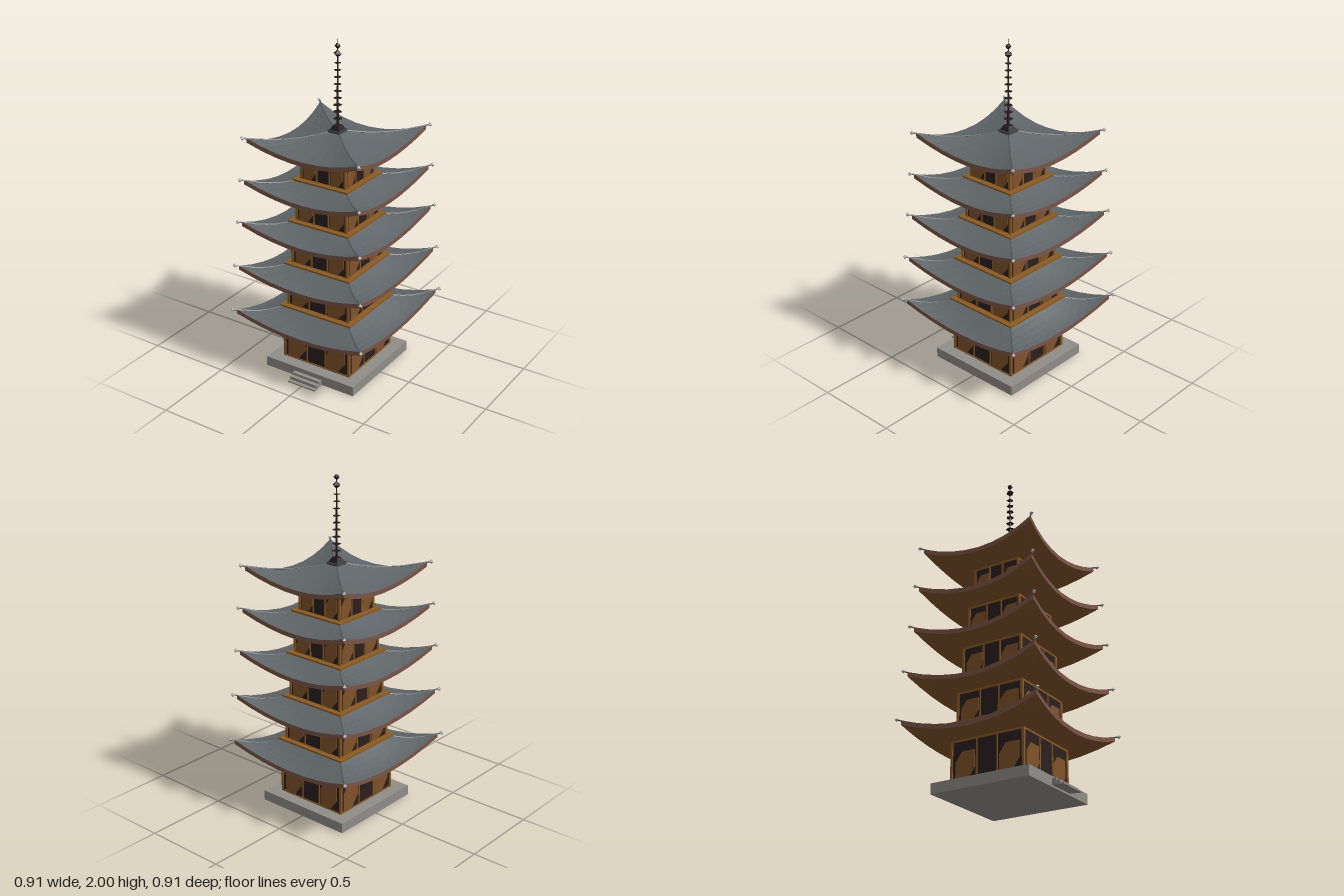
import * as THREE from 'three';
import { ParametricGeometry } from 'three/addons/geometries/ParametricGeometry.js';

const mat = (name, color, side = THREE.FrontSide) => {
  const m = new THREE.MeshStandardMaterial({ color, side, flatShading: true });
  m.name = name;
  return m;
};

const lerp = THREE.MathUtils.lerp;

export function createModel() {
  const M = {
    stone: mat('stone', 0x8e8d88),
    tile: mat('roofTile', 0x5f6568, THREE.DoubleSide),
    fascia: mat('eaveBrown', 0x795548, THREE.DoubleSide),
    wood: mat('wood', 0x805229, THREE.DoubleSide),
    wall: mat('wallPanel', 0x2a1f1f),
    timber: mat('timber', 0x8b5a22),
    cap: mat('capGrey', 0x44474a),
    metal: mat('spireMetal', 0x261c1b, THREE.DoubleSide),
    gem: mat('ridgeEnd', 0xacaea8),
  };

  const pagoda = new THREE.Group();
  pagoda.name = 'pagoda';

  const add = (parent, name, geo, material, x = 0, y = 0, z = 0) => {
    const mesh = new THREE.Mesh(geo, material);
    mesh.name = name;
    mesh.position.set(x, y, z);
    parent.add(mesh);
    return mesh;
  };
  const box = (parent, name, material, w, h, d, x, y, z) =>
    add(parent, name, new THREE.BoxGeometry(w, h, d), material, x, y, z);

  // Calls build(group) once for each of the four sides
  const fourSides = (parent, name, build) => {
    for (let k = 0; k < 4; k++) {
      const side = new THREE.Group();
      side.name = name;
      side.rotation.y = k * Math.PI / 2;
      build(side);
      parent.add(side);
    }
  };

  // Stone base and front steps: bottom, top, back, front of each tread
  box(pagoda, 'stoneBase', M.stone, 0.61, 0.06, 0.61, 0, 0.03, 0);
  [[0.005, 0.04, 0.315, 0.34], [0.003, 0.026, 0.34, 0.365], [0, 0.008, 0.365, 0.387]]
    .forEach(([y0, y1, z0, z1]) =>
      box(pagoda, 'frontStep', M.stone, 0.19, y1 - y0, z1 - z0, 0, (y0 + y1) / 2, (z0 + z1) / 2));

  // Hexagonal window panel with two opposite corners cut
  const windowPanel = (w, h) => {
    const s = new THREE.Shape();
    [[0, 0], [0, 0.66], [0.33, 1], [1, 1], [1, 0.42], [0.58, 0]].forEach(([x, y], i) =>
      i ? s.lineTo(x * w, y * h) : s.moveTo(x * w, y * h));
    return new THREE.ExtrudeGeometry(s, { depth: 0.004, bevelEnabled: false });
  };

  const buildStorey = (w, y0, y1) => {
    const g = new THREE.Group();
    g.name = 'storey';
    const h = y1 - y0;
    const mid = (y0 + y1) / 2;
    box(g, 'walls', M.wall, 2 * w - 0.012, h, 2 * w - 0.012, 0, mid, 0);
    fourSides(g, 'wallSide', (s) => {
      const z = w - 0.006;
      box(s, 'cornerPost', M.timber, 0.014, h, 0.014, w - 0.007, mid, w - 0.007);
      for (const sx of [-1, 1])
        box(s, 'doorPost', M.timber, 0.008, h, 0.01, sx * 0.28 * w, mid, z);
      box(s, 'topBeam', M.timber, 2 * w, 0.01, 0.012, 0, y1 - 0.005, z);
      box(s, 'bottomBeam', M.timber, 2 * w, 0.006, 0.012, 0, y0 + 0.003, z);
      for (const x of [-0.86, 0.33])
        add(s, 'window', windowPanel(0.53 * w, 0.7 * h), M.wood, x * w, y0 + 0.02 * h, z);
    });
    pagoda.add(g);
  };

  // Curved roof: a concave slope with eaves rising toward the corners
  const buildRoof = (inner, yTop, wallHalf, yEave, mid, corner) => {
    const g = new THREE.Group();
    g.name = 'roof';
    const thick = 0.026;
    const lift = 0.075;
    const at = (half, u, v, y, t) => t.set(
      u * lerp(half, corner, v), y,
      lerp(half, mid + (corner - mid) * u * u, v));
    const slope = (u, v, t) => at(inner, u, v,
      lerp(yTop, yEave + thick, 1 - (1 - v) ** 1.5) + lift * u * u * v ** 1.6, t);
    const under = (u, v, t) => at(wallHalf, u, v, yEave + lift * u * u * v * v, t);
    const a = new THREE.Vector3();
    const b = new THREE.Vector3();
    const surface = (f, nu, nv) =>
      new ParametricGeometry((p, q, t) => f(p * 2 - 1, q, t), nu, nv);

    fourSides(g, 'roofSide', (s) => {
      add(s, 'tiles', surface(slope, 8, 5), M.tile);
      add(s, 'soffit', surface(under, 8, 3), M.wood);
      add(s, 'fascia', surface((u, v, t) => {
        slope(u, 1, a);
        under(u, 1, b);
        t.lerpVectors(a, b, v);
      }, 8, 1), M.fascia);

      // Hip ridge ending in a small upturned knob
      const pts = [0, 0.25, 0.5, 0.75, 1].map((v) => {
        const p = new THREE.Vector3();
        slope(1, v, p);
        return p;
      });
      const tip = new THREE.Vector3(corner + 0.017, yEave + 0.103, corner + 0.017);
      pts.push(tip);
      add(s, 'hipRidge', new THREE.TubeGeometry(
        new THREE.CatmullRomCurve3(pts), 6, 0.0045, 4), M.tile);
      add(s, 'ridgeEnd', new THREE.OctahedronGeometry(0.013, 0), M.gem, tip.x, tip.y, tip.z);
    });
    pagoda.add(g);
  };

  // Storeys: wall half width, wall bottom, wall top, eave at middle, eave at corner
  const levels = [
    [0.232, 0.06, 0.3, 0.4, 0.425],
    [0.212, 0.402, 0.585, 0.382, 0.408],
    [0.193, 0.675, 0.86, 0.365, 0.39],
    [0.173, 0.942, 1.115, 0.348, 0.375],
    [0.152, 1.195, 1.362, 0.33, 0.36],
  ];
  levels.forEach(([w, y0, y1, mid, corner], i) => {
    buildStorey(w, y0, y1);
    const next = levels[i + 1];
    buildRoof(next ? next[0] : 0.035, next ? next[1] : 1.465, w, y1, mid, corner);
    if (next) {
      const p = next[0] + 0.03;
      box(pagoda, 'balcony', M.timber, 2 * p, 0.01, 2 * p, 0, next[1], 0);
    }
  });

  // Spire: square cap, pole, flat rings and jewels
  box(pagoda, 'spireCap', M.cap, 0.08, 0.022, 0.08, 0, 1.466, 0);
  const bowl = add(pagoda, 'spireBowl', new THREE.CylinderGeometry(0.026, 0.046, 0.026, 4), M.metal, 0, 1.49, 0);
  bowl.rotation.y = Math.PI / 4;
  add(pagoda, 'spirePole', new THREE.CylinderGeometry(0.003, 0.007, 0.46, 6), M.metal, 0, 1.72, 0);
  for (let i = 0; i < 9; i++) {
    const ring = add(pagoda, 'spireRing', new THREE.CircleGeometry(0.029 - i * 0.001, 5), M.metal, 0, 1.54 + i * 0.04, 0);
    ring.rotation.set(-Math.PI / 2, 0, i * 0.3);
  }
  const jewel = add(pagoda, 'lowerJewel', new THREE.OctahedronGeometry(0.026, 0), M.metal, 0, 1.912, 0);
  jewel.scale.y = 0.85;
  add(pagoda, 'upperJewel', new THREE.IcosahedronGeometry(0.016, 0), M.metal, 0, 1.955, 0);
  add(pagoda, 'spireTip', new THREE.CylinderGeometry(0.0005, 0.0015, 0.04, 4), M.metal, 0, 1.98, 0);

  return pagoda;
}
